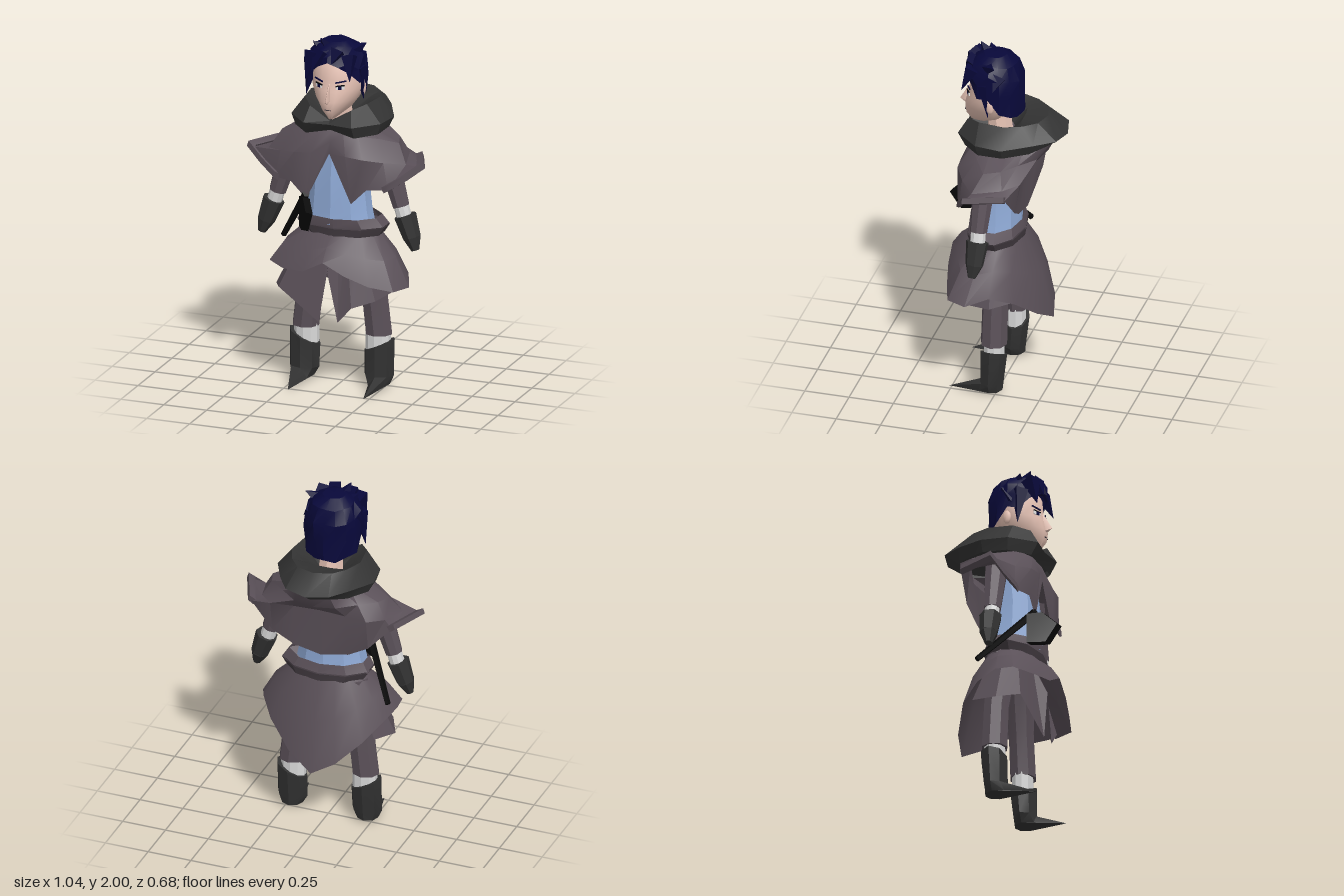
import * as THREE from 'three';
import { toCreasedNormals } from 'three/addons/utils/BufferGeometryUtils.js';

const mat = (name, color) => {
  const m = new THREE.MeshStandardMaterial({ color, side: THREE.DoubleSide });
  m.name = name;
  return m;
};
const V = (a) => new THREE.Vector3(...a);

// Skin a list of cross-sections, bottom to top; each runs front, +x, back, -x
function loft(rings, { closed = true, caps = false, crease = 0.45 } = {}) {
  const n = rings[0].length, pos = rings.flat(2), idx = [];
  for (let i = 0; i < rings.length - 1; i++)
    for (let j = 0; j < (closed ? n : n - 1); j++) {
      const a = i * n + j, b = i * n + (j + 1) % n;
      idx.push(a, b, b + n, a, b + n, a + n);
    }
  if (caps) {
    const t = (rings.length - 1) * n;
    for (let j = 1; j < n - 1; j++) idx.push(0, j + 1, j, t, t + j, t + j + 1);
  }
  const g = new THREE.BufferGeometry();
  g.setAttribute('position', new THREE.Float32BufferAttribute(pos, 3));
  g.setIndex(idx);
  g.computeVertexNormals();
  return toCreasedNormals(g, crease);
}
// Elliptical cross-section
const oval = (cx, y, cz, rx, rz, n = 8) => Array.from({ length: n }, (_, i) => {
  const a = i / n * Math.PI * 2;
  return [cx + Math.sin(a) * rx, y, cz + Math.cos(a) * rz];
});
// Half outline (front centre to back centre) to full outline
const mirror = (half) => [...half, ...half.slice(1, -1).reverse().map(([x, y, z]) => [-x, y, z])];

// Tapered limb between two points
function limb(p, q, r1, r2, n = 8) {
  const a = V(p), b = V(q), d = b.clone().sub(a);
  const g = new THREE.CylinderGeometry(r2, r1, d.length(), n);
  g.applyQuaternion(new THREE.Quaternion().setFromUnitVectors(new THREE.Vector3(0, 1, 0), d.normalize()));
  g.translate(...a.add(b).multiplyScalar(0.5).toArray());
  return toCreasedNormals(g, 0.5);
}

export function createModel() {
  const model = new THREE.Group();
  model.name = 'cloakedFigure';
  const coat = mat('coat', 0x5a5058), hood = mat('hood', 0x343434), leather = mat('leather', 0x323232),
    cloth = mat('shirt', 0x8faad6), skin = mat('skin', 0xe6c2b4), hair = mat('hair', 0x08083a),
    black = mat('black', 0x080808), pale = mat('cuffs', 0xd8d8d8), white = mat('eyeWhite', 0xf0f0f0),
    strapMat = mat('strap', 0x463e44);
  const add = (name, geo, m, parent = model) => {
    const o = new THREE.Mesh(geo, m);
    o.name = name;
    parent.add(o);
    return o;
  };

  // Limbs on both sides
  for (const [side, s] of [['left', 1], ['right', -1]]) {
    const g = new THREE.Group();
    g.name = side + 'Limbs';
    g.scale.x = s;
    model.add(g);
    const sole = oval(0.22, 0.02, 0.025, 0.06, 0.06);
    sole[0] = [0.22, 0, 0.265];
    sole[1][2] = sole[7][2] = 0.09;
    const top = oval(0.217, 0.24, 0.015, 0.088, 0.075);
    top.forEach((p) => { p[1] += (p[0] - 0.217) * 0.45; });
    add('boot', loft([sole, oval(0.217, 0.07, 0.025, 0.086, 0.065), top], { caps: true }), leather, g);
    add('bootCuff', loft([oval(0.208, 0.18, 0.015, 0.07, 0.058, 10), oval(0.208, 0.315, 0.015, 0.07, 0.058, 10)], { caps: true }), pale, g);
    add('trouserLeg', loft([oval(0.213, 0.302, 0.015, 0.077, 0.074), oval(0.185, 0.55, 0.015, 0.076, 0.072),
      oval(0.12, 0.88, 0.03, 0.1, 0.09)], { caps: true }), coat, g);
    add('sleeve', limb([0.36, 1.06, 0.06], [0.27, 1.36, 0.05], 0.048, 0.066), coat, g);
    add('wristCuff', limb([0.385, 0.98, 0.06], [0.355, 1.08, 0.06], 0.042, 0.042, 10), pale, g);
    add('glove', limb([0.425, 0.89, 0.065], [0.383, 1.01, 0.06], 0.05, 0.063, 7), leather, g);
    add('gloveHand', limb([0.448, 0.82, 0.073], [0.425, 0.89, 0.065], 0.022, 0.05, 7), leather, g);

    // Raised rim of the shoulder cape
    const rim = [[0.31, 1.165, 0.19], [0.4, 1.22, 0.15], [0.49, 1.29, 0.11], [0.4, 1.28, -0.1]]
      .map(([x, y, z]) => [[x, y, z], [x + 0.03, y + 0.02, z], [x + 0.02, y + 0.05, z], [x - 0.02, y + 0.03, z]]);
    add('capeRim', loft(rim, { caps: true }), coat, g);

    // Face details
    const face = (name, w, h, x, y, z, m, tilt = 0) => {
      const o = add(name, new THREE.BoxGeometry(w, h, 0.006), m, g);
      o.position.set(x, y, z);
      o.rotation.set(0, 0.48, tilt);
    };
    face('eyeWhite', 0.046, 0.018, 0.062, 1.742, 0.203, white);
    face('iris', 0.017, 0.018, 0.06, 1.742, 0.207, hair);
    face('eyelid', 0.05, 0.006, 0.062, 1.753, 0.205, black, 0.1);
    face('eyebrow', 0.062, 0.007, 0.064, 1.774, 0.2, hair, 0.16);
    const ear = add('ear', new THREE.SphereGeometry(0.04, 8, 6), skin, g);
    ear.scale.set(0.35, 1, 0.6);
    ear.position.set(0.14, 1.71, 0.06);
  }

  // Shirt and belt
  add('shirt', loft([oval(0, 0.95, 0.06, 0.2, 0.14, 10), oval(0, 1.02, 0.06, 0.185, 0.135, 10),
    oval(0, 1.2, 0.06, 0.165, 0.13, 10), oval(0, 1.42, 0.04, 0.16, 0.12, 10)], { caps: true }), cloth);
  add('belt', loft([oval(0.015, 0.87, 0.045, 0.2, 0.14, 10), oval(0.02, 0.935, 0.048, 0.26, 0.155, 10),
    oval(0.015, 0.985, 0.055, 0.225, 0.148, 10)]), coat);
  add('beltStrap', loft([oval(0.02, 0.885, 0.048, 0.235, 0.152, 10), oval(0.02, 0.93, 0.048, 0.264, 0.16, 10)]), strapMat);

  // Outer skirt: short split front, long pointed back
  const hem = [[0, 0.765, 0.31], [0.12, 0.7, 0.3], [0.25, 0.645, 0.27], [0.38, 0.62, 0.23],
    [0.43, 0.62, 0.12], [0.38, 0.66, 0], [0.29, 0.6, -0.12], [0.15, 0.48, -0.21],
    [0, 0.39, -0.26], [-0.13, 0.46, -0.23], [-0.26, 0.58, -0.15], [-0.33, 0.66, -0.04],
    [-0.37, 0.7, 0.08], [-0.36, 0.7, 0.18], [-0.25, 0.69, 0.26], [-0.12, 0.7, 0.3]];
  const waist = oval(0.01, 0.9, 0.045, 0.21, 0.14, 16);
  const hips = hem.map(([x, y, z], i) => {
    const w = waist[i];
    return [w[0] + (x - w[0]) * 0.58, w[1] + (y - w[1]) * 0.45, w[2] + (z - w[2]) * 0.6];
  });
  add('skirt', loft([hem, hips, waist], { crease: 0.6 }), coat);

  // Inner skirt panels hanging below the front
  const inner = [[-0.3, 0.57, -0.08], [-0.36, 0.54, 0.08], [-0.3, 0.56, 0.2], [-0.05, 0.4, 0.24],
    [0, 0.69, 0.24], [0.06, 0.41, 0.24], [0.14, 0.5, 0.24], [0.26, 0.54, 0.19], [0.3, 0.55, 0.02], [0.22, 0.57, -0.1]];
  add('skirtPanels', loft([inner, inner.map(([x, y, z]) => [x * 0.55, 0.87, 0.02 + z * 0.55])], { closed: false }), coat);

  // Shoulder cape with a notch at the chest and a low back hem
  add('cape', loft([
    [[0, 1.36, 0.21], [0.13, 1.09, 0.22], [0.22, 1.18, 0.22], [0.33, 1.18, 0.18], [0.5, 1.31, 0.11],
      [0.41, 1.3, -0.1], [0.28, 1.16, -0.12], [0.16, 1.09, -0.11], [0, 1.06, -0.115]],
    [[0, 1.42, 0.2], [0.1, 1.36, 0.23], [0.2, 1.35, 0.225], [0.3, 1.33, 0.17], [0.4, 1.31, 0.09],
      [0.36, 1.33, -0.07], [0.28, 1.34, -0.15], [0.15, 1.34, -0.13], [0, 1.34, -0.12]],
    [[0, 1.48, 0.18], [0.07, 1.48, 0.18], [0.15, 1.46, 0.16], [0.25, 1.44, 0.1], [0.34, 1.41, 0.04],
      [0.31, 1.42, -0.05], [0.22, 1.42, -0.12], [0.12, 1.42, -0.2], [0, 1.42, -0.23]],
    [[0, 1.52, 0.14], [0.04, 1.52, 0.13], [0.08, 1.52, 0.11], [0.1, 1.52, 0.08], [0.12, 1.51, 0.04],
      [0.13, 1.5, -0.05], [0.14, 1.5, -0.14], [0.1, 1.5, -0.23], [0, 1.5, -0.27]],
  ].map(mirror), { crease: 0.6 }), coat);

  // Folded hood around the neck
  const under = mirror([[0, 1.49, 0.19], [0.14, 1.46, 0.2], [0.24, 1.465, 0.1], [0.25, 1.47, -0.04],
    [0.18, 1.48, -0.17], [0.11, 1.49, -0.23], [0, 1.49, -0.27]]);
  add('hood', loft([under,
    mirror([[0, 1.53, 0.225], [0.14, 1.53, 0.24], [0.26, 1.53, 0.11], [0.28, 1.53, -0.04],
      [0.2, 1.545, -0.2], [0.125, 1.55, -0.31], [0, 1.54, -0.34]]),
    mirror([[0, 1.545, 0.2], [0.12, 1.615, 0.19], [0.18, 1.635, 0.11], [0.2, 1.635, -0.03],
      [0.16, 1.635, -0.13], [0.1, 1.635, -0.2], [0, 1.635, -0.23]]),
    mirror([[0, 1.52, 0.14], [0.09, 1.57, 0.13], [0.14, 1.59, 0.06], [0.14, 1.6, -0.03],
      [0.11, 1.6, -0.08], [0.05, 1.6, -0.09], [0, 1.6, -0.09]]),
    mirror([[0, 1.5, 0.09], [0.04, 1.5, 0.08], [0.07, 1.51, 0.05], [0.07, 1.52, 0.02],
      [0.05, 1.53, -0.02], [0.03, 1.53, -0.03], [0, 1.53, -0.035]])]), hood);

  // Head: rows of height, front, half width, back
  const head = [[1.555, 0.205, 0.02, 0.13], [1.6, 0.235, 0.075, 0.02], [1.66, 0.238, 0.12, -0.04], [1.72, 0.222, 0.143, -0.06],
    [1.78, 0.208, 0.15, -0.06], [1.86, 0.2, 0.142, -0.06], [1.92, 0.15, 0.1, -0.04]]
    .map(([y, f, w, b]) => oval(0, y, 0, w, 1, 20).map(([x, , c]) => {
      const mid = Math.max(0.07, b);
      return [x, y, c > 0 ? mid + (f - mid) * c ** 1.2 : mid + (mid - b) * c];
    }));
  add('head', loft(head, { caps: true, crease: 1 }), skin);
  add('neck', limb([0, 1.42, 0.03], [0, 1.64, 0.05], 0.075, 0.065), skin);
  add('nose', loft([[[0, 1.645, 0.235], [0.02, 1.65, 0.228], [0, 1.66, 0.2], [-0.02, 1.65, 0.228]],
    [[0, 1.668, 0.268], [0.015, 1.67, 0.228], [0, 1.67, 0.2], [-0.015, 1.67, 0.228]],
    [[0, 1.76, 0.216], [0.006, 1.76, 0.21], [0, 1.76, 0.2], [-0.006, 1.76, 0.21]]], { caps: true, crease: 1 }), skin);
  add('mouth', new THREE.BoxGeometry(0.036, 0.004, 0.008), strapMat).position.set(0, 1.615, 0.232);

  // Hair cap with a ragged hemline
  const hemY = [1.88, 1.86, 1.82, 1.76, 1.76, 1.67, 1.65, 1.63, 1.64, 1.63, 1.65, 1.67, 1.76, 1.75, 1.81, 1.85];
  const rows = [0, 0.35, 0.65, 0.88, 1].map((t, k) => hemY.map((h, i) => {
    const a = i / 16 * Math.PI * 2, y = h + (1.975 - h) * t;
    const r = Math.sqrt(Math.max(0.04, 1 - Math.max(0, (y - 1.8) / 0.185) ** 3)) * (1 + 0.05 * Math.sin(i * 2.4 + k * 1.9));
    return [-0.008 + Math.sin(a) * 0.162 * r, y, 0.07 + Math.cos(a) * 0.16 * r];
  }));
  add('hair', loft(rows), hair);
  add('hairCrown', loft([rows[4], oval(-0.01, 1.98, 0.07, 0.001, 0.001, 16)]), hair);

  // Loose locks: root, tip, thickness
  [[[-0.13, 1.86, 0.13], [-0.165, 1.66, 0.13], 0.05], [[0.13, 1.84, 0.1], [0.145, 1.65, 0.07], 0.035],
    [[-0.1, 1.92, 0.18], [-0.13, 1.77, 0.23], 0.055], [[-0.05, 1.93, 0.19], [-0.09, 1.83, 0.255], 0.05],
    [[0.04, 1.94, 0.18], [0.02, 1.88, 0.23], 0.05], [[0.1, 1.92, 0.17], [0.125, 1.79, 0.225], 0.05],
    [[-0.03, 1.92, 0.1], [-0.065, 2.0, 0.17], 0.06], [[-0.08, 1.92, 0.1], [-0.125, 1.965, 0.13], 0.05],
    [[0.09, 1.92, 0.08], [0.155, 1.965, 0.05], 0.045], [[0.1, 1.88, 0.02], [0.16, 1.82, 0.04], 0.05],
    [[-0.12, 1.86, 0.05], [-0.18, 1.78, 0.1], 0.05],
  ].forEach(([p, q, r]) => add('hairLock', limb(p, q, r, 0.001, 4), hair));

  // Sheathed blade and its flat guard
  add('sheath', limb([-0.36, 0.78, -0.03], [-0.13, 1.12, 0.22], 0.016, 0.022, 5), black);
  const plate = [[-0.14, 0.92, 0.2], [-0.09, 0.93, 0.29], [-0.045, 1.05, 0.34], [-0.09, 1.11, 0.27], [-0.14, 1.09, 0.2]];
  add('guard', loft([plate, plate.map(([x, y, z]) => [x - 0.045, y, z - 0.01])], { caps: true }), black);
  return model;
}
